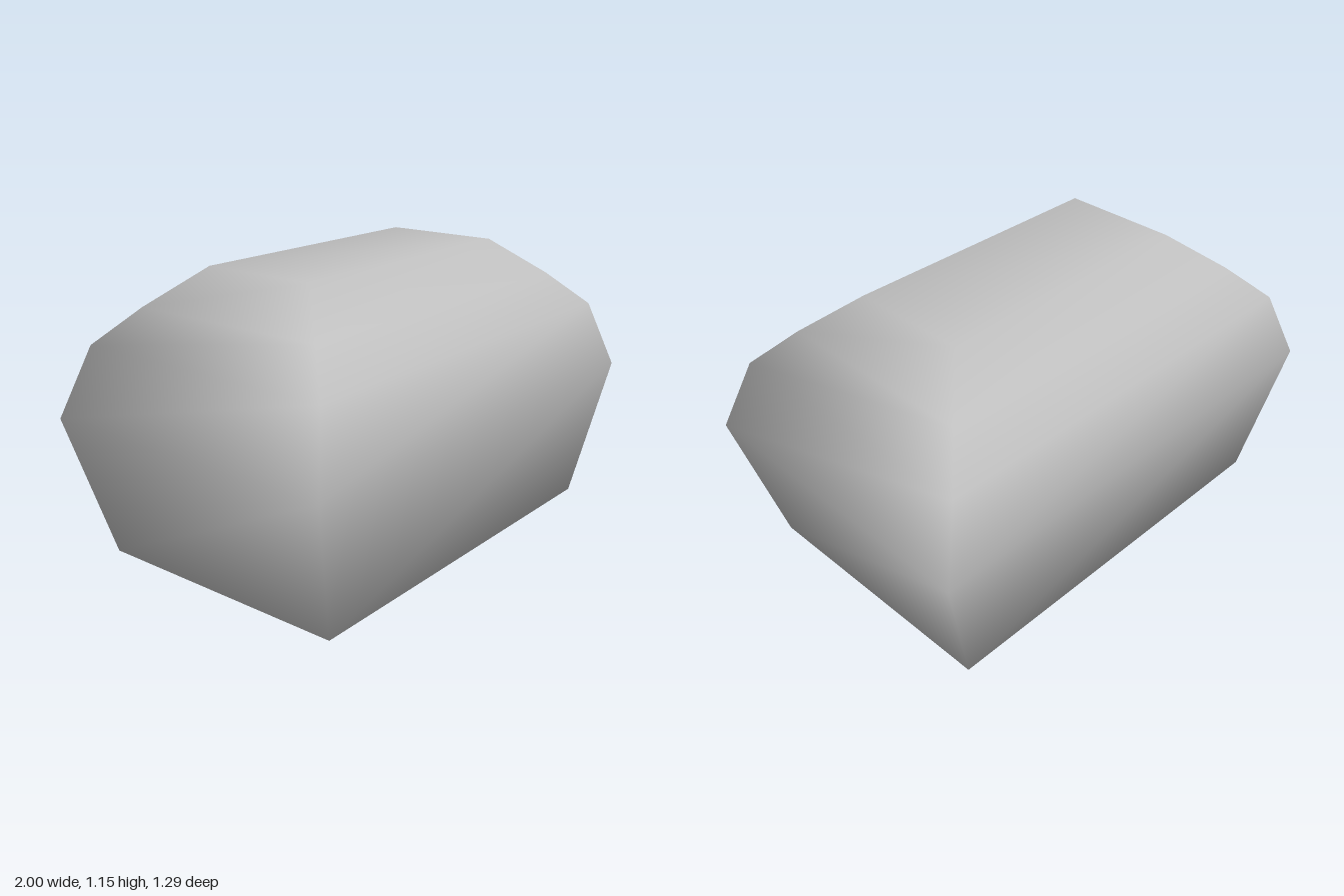
import * as THREE from 'three';

// Rectangular cross-sections from base to top: [y, half width, half depth]
const SECTIONS = [
  [0, 0.845, 0.55],
  [0.58, 1.0, 0.645],
  [0.86, 0.895, 0.565],
  [1.0, 0.755, 0.425],
  [1.15, 0.575, 0.245],
];
const CORNERS = [[1, 1], [1, -1], [-1, -1], [-1, 1]];

// Closed loft whose shared corners give smooth normals all over
function loftBlock() {
  const positions = [];
  const index = [];
  for (const [y, halfWidth, halfDepth] of SECTIONS) {
    for (const [sx, sz] of CORNERS) positions.push(sx * halfWidth, y, sz * halfDepth);
  }
  for (let ring = 0; ring < SECTIONS.length - 1; ring++) {
    for (let i = 0; i < 4; i++) {
      const a = ring * 4 + i;
      const b = ring * 4 + (i + 1) % 4;
      index.push(a, b, b + 4, a, b + 4, a + 4);
    }
  }
  // Base and top caps
  const top = (SECTIONS.length - 1) * 4;
  index.push(0, 2, 1, 0, 3, 2);
  index.push(top, top + 1, top + 2, top, top + 2, top + 3);

  const geometry = new THREE.BufferGeometry();
  geometry.setAttribute('position', new THREE.Float32BufferAttribute(positions, 3));
  geometry.setIndex(index);
  geometry.computeVertexNormals();
  return geometry;
}

export function createModel() {
  const group = new THREE.Group();
  group.name = 'roundedBlock';

  const grey = new THREE.MeshStandardMaterial({ color: 0xc0c0c0 });
  grey.name = 'grey';

  const body = new THREE.Mesh(loftBlock(), grey);
  body.name = 'body';
  group.add(body);
  return group;
}
